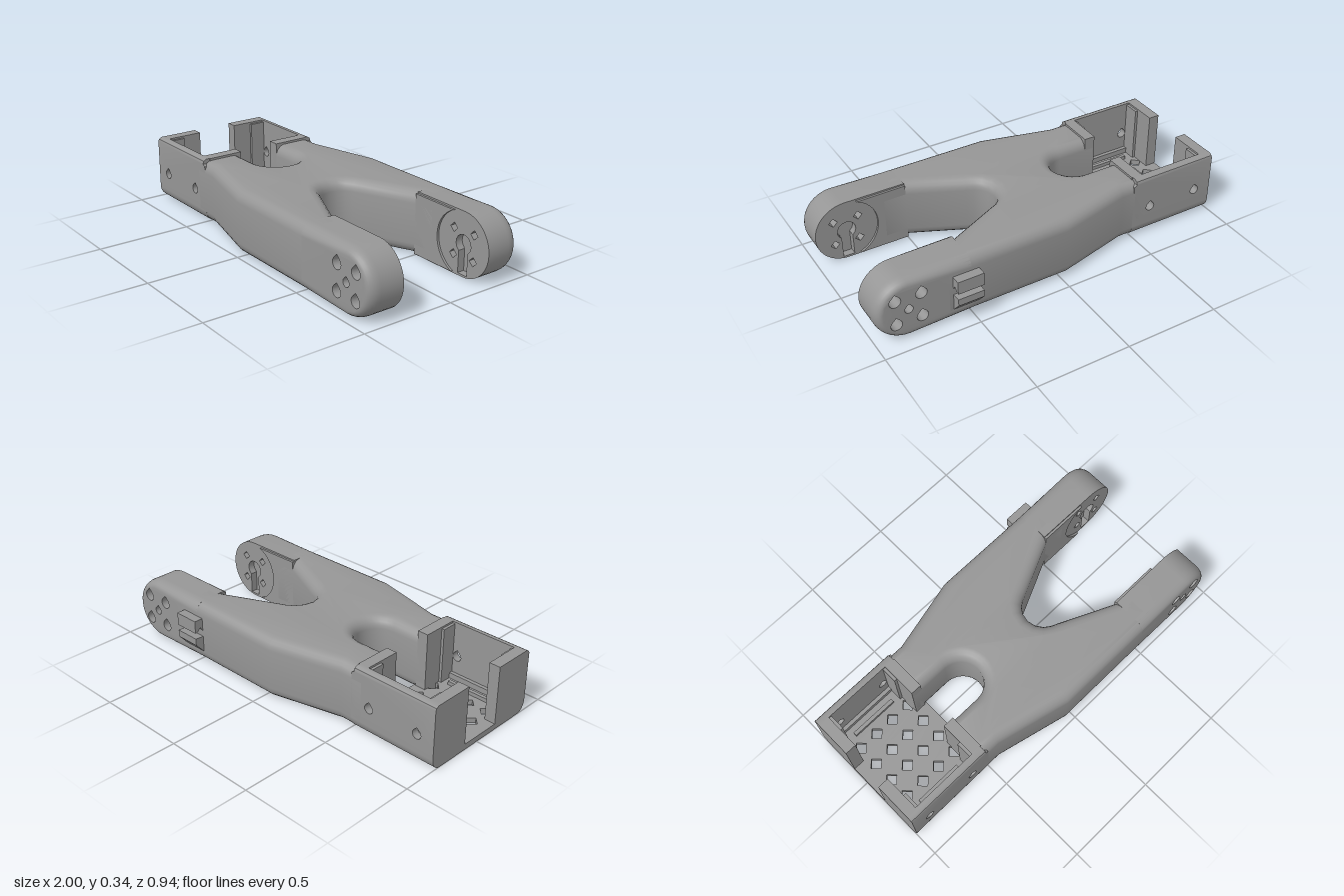
import * as THREE from 'three';
import { mergeGeometries, toCreasedNormals } from 'three/addons/utils/BufferGeometryUtils.js';

const H = 0.335, R = H / 2, TIP_X = 0.83, BEVEL = 0.06;
const vecs = (pts) => pts.map(([x, y]) => new THREE.Vector2(x, y));

// Plain triangles with sharp edges kept and small angles smoothed
function finish(geos) {
  const list = geos.map((g) => {
    const n = g.index ? g.toNonIndexed() : g;
    n.deleteAttribute('uv');
    n.computeVertexNormals();
    return n;
  });
  return toCreasedNormals(mergeGeometries(list), 0.6);
}

// Mirror triangles across z and restore their winding
function mirrorZ(geo) {
  const g = geo.clone().scale(1, 1, -1), p = g.attributes.position;
  const a = new THREE.Vector3(), b = new THREE.Vector3();
  for (let i = 0; i < p.count; i += 3) {
    a.fromBufferAttribute(p, i + 1);
    b.fromBufferAttribute(p, i + 2);
    p.setXYZ(i + 1, b.x, b.y, b.z);
    p.setXYZ(i + 2, a.x, a.y, a.z);
  }
  return toCreasedNormals(g, 0.6);
}

function box(x0, x1, y0, y1, z0, z1) {
  return new THREE.BoxGeometry(x1 - x0, y1 - y0, z1 - z0)
    .translate((x0 + x1) / 2, (y0 + y1) / 2, (z0 + z1) / 2);
}

function shapeOf(outline, holes = []) {
  const s = new THREE.Shape(vecs(outline));
  s.holes = holes.map((h) => new THREE.Path(vecs(h)));
  return s;
}

// Flat sheet in the xy plane at depth z
const sheet = (outline, holes, z) => new THREE.ShapeGeometry(shapeOf(outline, holes)).translate(0, 0, z);

// Solid with an xy outline between two depths
const slab = (outline, holes, z0, z1) => new THREE.ExtrudeGeometry(
  shapeOf(outline, holes), { depth: z1 - z0, bevelEnabled: false }).translate(0, 0, z0);

// Solid with a (z, y) profile running along x
const bar = (profile, x0, x1) => new THREE.ExtrudeGeometry(
  shapeOf(profile.map(([z, y]) => [-z, y])), { depth: x1 - x0, bevelEnabled: false })
  .rotateY(Math.PI / 2).translate(x0, 0, 0);

// Closed wall through a list of { pts, z } rings
function wall(rings) {
  const pos = [];
  for (let k = 0; k + 1 < rings.length; k++) {
    const lo = rings[k], hi = rings[k + 1], n = lo.pts.length;
    for (let i = 0; i < n; i++) {
      const j = (i + 1) % n;
      const a = [...lo.pts[i], lo.z], b = [...lo.pts[j], lo.z];
      const c = [...hi.pts[j], hi.z], d = [...hi.pts[i], hi.z];
      pos.push(...a, ...b, ...c, ...a, ...c, ...d);
    }
  }
  const g = new THREE.BufferGeometry();
  g.setAttribute('position', new THREE.Float32BufferAttribute(pos, 3));
  return g;
}

// Inward-facing wall of a hole
function bore(pts, z0, z1) {
  const rev = [...pts].reverse();
  return wall([{ pts: rev, z: z0 }, { pts: rev, z: z1 }]);
}

// Round hole with a pointed top
function teardrop(x, y, r) {
  const pts = [];
  for (let i = 0; i <= 12; i++) {
    const a = Math.PI * (0.75 + (1.5 * i) / 12);
    pts.push([x + r * Math.cos(a), y + r * Math.sin(a)]);
  }
  pts.push([x, y + r * 1.42]);
  return pts;
}

const diamond = (x, y, r) => [[x + r, y], [x, y + r], [x - r, y], [x, y - r]];

// Side outline of an arm tip, inset by d and a little less around the end
function tipOutline(d) {
  const pts = [[0.5, H - d], [0.5, d]], r = R - 0.6 * d;
  for (let i = 0; i <= 20; i++) {
    const a = Math.PI * (i / 20 - 0.5);
    pts.push([TIP_X + r * Math.cos(a), R + r * Math.sin(a)]);
  }
  return pts;
}

// X-shaped body, outlined from above with rounded edges
function bodyGeometry() {
  const half = [[-0.56, 0.115], [-0.56, 0.35], [-0.43, 0.35], [-0.04, 0.445], [0.62, 0.445],
    [0.62, 0.245], [0.5, 0.245], [0.22, 0.115], [0.185, 0.1], [0.155, 0.078], [0.132, 0.045]];
  const pts = [...half, [0.122, 0], ...half.map(([x, z]) => [x, -z]).reverse()];
  // round end of the slot
  for (let i = 0; i <= 16; i++) {
    const a = Math.PI * (i / 16 - 0.5);
    pts.push([-0.35 + 0.115 * Math.cos(a), 0.115 * Math.sin(a)]);
  }
  return new THREE.ExtrudeGeometry(shapeOf(pts), {
    depth: H - 2 * BEVEL, bevelEnabled: true, bevelSize: BEVEL, bevelThickness: BEVEL,
    bevelOffset: -BEVEL, bevelSegments: 5,
  }).rotateX(-Math.PI / 2).translate(0, BEVEL, 0);
}

// Arm tip: rounded shell, counterbored screw holes and a keyhole pocket
function tipGeometry() {
  const IN = 0.257, MID = 0.35, OUT = 0.445;
  const corners = [[0.763, 0.236], [0.897, 0.236], [0.763, 0.1], [0.897, 0.1]];
  const small = corners.map(([x, y]) => diamond(x, y, 0.024));
  const large = [...corners.map(([x, y]) => teardrop(x, y, 0.03)), teardrop(TIP_X, R, 0.022)];
  const key = [[TIP_X - 0.03, 0.012], [TIP_X + 0.03, 0.012]];
  for (let i = 0; i <= 12; i++) {
    const a = -0.93 + (i / 12) * (Math.PI + 1.86);
    key.push([TIP_X + 0.05 * Math.cos(a), R + 0.05 * Math.sin(a)]);
  }
  const rings = [{ pts: tipOutline(0), z: IN }];
  for (let i = 0; i <= 6; i++) {
    const a = (i / 6) * Math.PI / 2;
    rings.push({ pts: tipOutline(BEVEL * (1 - Math.cos(a))), z: OUT - BEVEL * (1 - Math.sin(a)) });
  }
  // thin pad around the round recess on the inner face
  const pad = [[0.5, H - 0.008], [0.5, 0.008]];
  for (let i = 0; i <= 14; i++) {
    const a = Math.PI * (1.38 - (0.76 * i) / 14);
    pad.push([TIP_X + 0.17 * Math.cos(a), R + 0.17 * Math.sin(a)]);
  }
  return finish([
    wall(rings),
    sheet(tipOutline(BEVEL), large, OUT),
    sheet(tipOutline(0), small, MID),
    sheet(tipOutline(0), [...small, key], IN),
    sheet(key, [], IN + 0.04),
    bore(key, IN, IN + 0.04),
    ...small.map((h) => bore(h, IN, MID)),
    ...large.map((h) => bore(h, MID, OUT)),
    slab(pad, [], 0.245, IN),
  ]);
}

// One side of the open bay: thin wall, end flange, guide ribs
function bayGeometry() {
  const sill = [[0.29, 0]];
  for (let i = 0; i <= 6; i++) {
    const a = (i / 6) * Math.PI / 2;
    sill.push([0.3 + 0.05 * Math.sin(a), 0.06 - 0.06 * Math.cos(a)]);
  }
  sill.push([0.29, 0.06]);
  const side = [[-1, 0.06], [-0.5, 0.06], [-0.5, 0.31], [-0.515, 0.32], [-0.515, 0.325], [-1, 0.325]];
  const rim = [[0.31, 0.325], [0.35, 0.325], [0.345, 0.336], [0.33, 0.345], [0.31, 0.345]];
  const holes = [-0.9, -0.61].map((x) => teardrop(x, 0.155, 0.025));
  return finish([
    bar(sill, -1, -0.5),
    slab(side, holes, 0.31, 0.35),
    bar(rim, -1, -0.515),
    box(-1, -0.94, 0, 0.345, 0.115, 0.31),
    box(-0.57, -0.51, 0, 0.345, 0.115, 0.31),
    box(-0.94, -0.925, 0.02, 0.335, 0.225, 0.31),
    box(-0.585, -0.57, 0.02, 0.335, 0.225, 0.31),
    box(-0.88, -0.62, 0.02, 0.05, 0.235, 0.255),
  ]);
}

// Bay floor with a grid of diamond holes
function floorGeometry() {
  const holes = [];
  for (let i = 0; i < 4; i++) {
    for (let j = 0; j < 4; j++) holes.push(diamond(-0.905 + i * 0.109, -0.173 + j * 0.1155, 0.036));
  }
  return slab([[-1, -0.3], [-0.5, -0.3], [-0.5, 0.3], [-1, 0.3]], holes, 0, 0.03).rotateX(-Math.PI / 2);
}

export function createModel() {
  const grey = new THREE.MeshStandardMaterial({ color: 0x969696, side: THREE.DoubleSide });
  grey.name = 'grey';
  const group = new THREE.Group();
  group.name = 'forkedBracket';
  const add = (name, geo) => {
    const m = new THREE.Mesh(geo, grey);
    m.name = name;
    m.position.z = 0.024;
    group.add(m);
  };
  add('body', finish([bodyGeometry()]));
  add('bayFloor', finish([floorGeometry()]));
  const tip = tipGeometry(), bay = bayGeometry();
  add('frontArmTip', tip);
  add('backArmTip', mirrorZ(tip));
  add('frontBayWall', bay);
  add('backBayWall', mirrorZ(bay));

  // Cable clip on the back of one arm
  const upper = [[-0.44, 0.26], [-0.494, 0.26], [-0.494, 0.19], [-0.478, 0.195], [-0.46, 0.212], [-0.44, 0.18]];
  const lower = [[-0.44, 0.155], [-0.494, 0.158], [-0.494, 0.12], [-0.44, 0.06]];
  add('clipUpperHook', finish([bar(upper, 0.46, 0.6)]));
  add('clipLowerHook', finish([bar(lower, 0.46, 0.6)]));
  return group;
}
